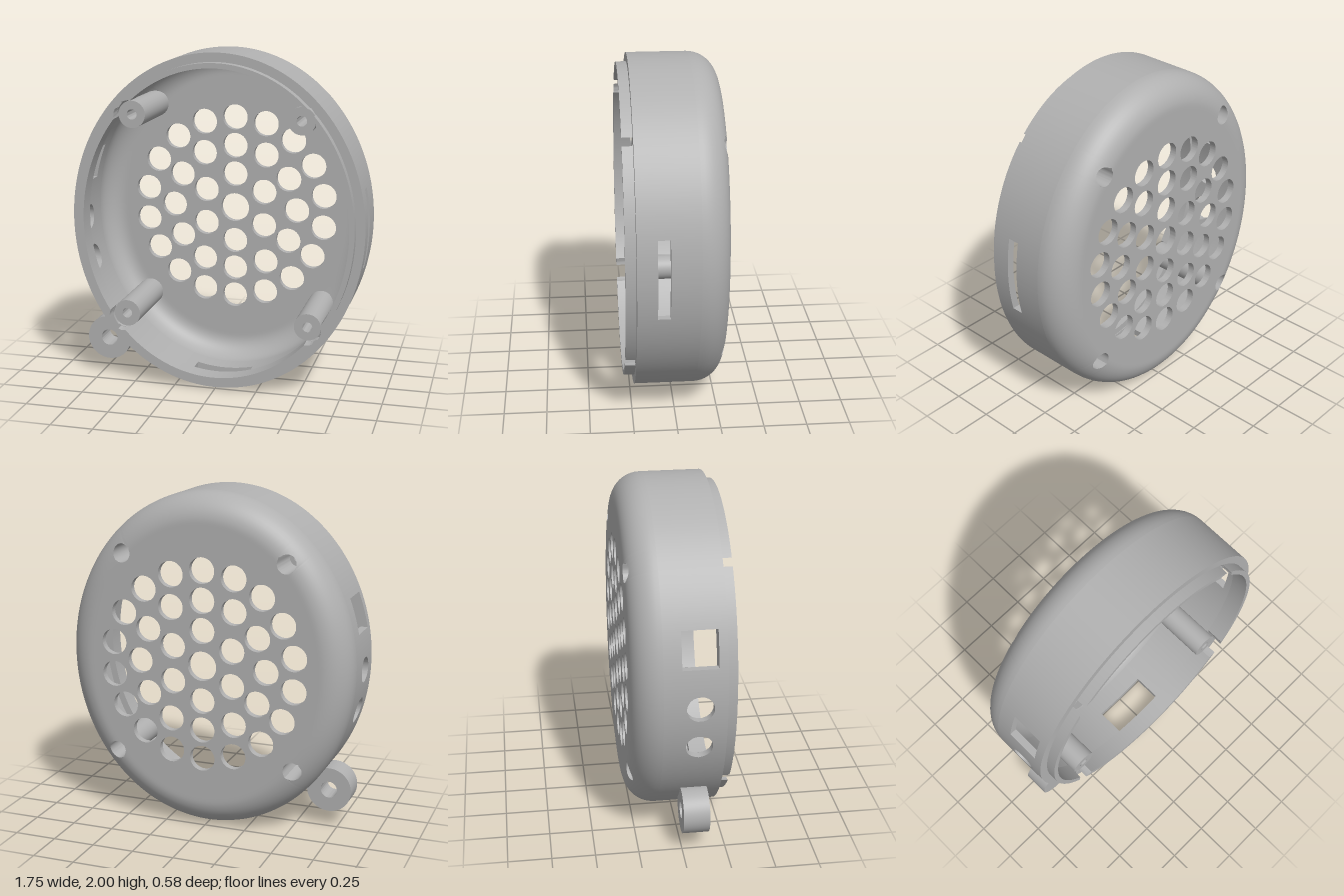
import * as THREE from 'three';
import { toCreasedNormals } from 'three/addons/utils/BufferGeometryUtils.js';

const RX = 0.873, RY = 1;                 // outer half-axes of the oval case
const WALL = 0.042, EDGE = 0.2;           // wall thickness, width of the rounded border
const RIM_Z = 0.23, LIP_Z = 0.29, BACK_Z = -0.29, FLOOR_Z = BACK_Z + WALL;
const R_OUT = 0.17, R_IN = R_OUT - WALL;  // outer and inner corner radii
const BEND_Z = BACK_Z + R_OUT;            // where the wall starts to curve in
const N = 720, STEP = (Math.PI * 2) / N;
const BORE = 0.055, BORE_Z = -0.05;       // screw recess at the back
const POSTS = [[0.5, 0.63], [-0.5, 0.63], [-0.55, -0.577], [0.55, -0.577]];

// Openings in the side wall: side test, measured axis, centre, half size, z range
const OPENINGS = [
  { on: (x) => x > 0, axis: 1, c: 0, h: 0.23, z: [0.047, 0.117] },
  { on: (x) => x < 0, axis: 1, c: 0.305, h: 0.105, z: [-0.02, 0.18] },
  { on: (x) => x < 0, axis: 1, c: -0.03, h: 0.076, z: [0.08, 0.08], round: true },
  { on: (x) => x < 0, axis: 1, c: -0.28, h: 0.076, z: [0.08, 0.08], round: true },
  { on: (x, y) => y < 0, axis: 0, c: 0, h: 0.175, z: [0, 0.175] },
];

const oval = (t, inset, z = 0) => [(RX - inset) * Math.cos(t), (RY - inset) * Math.sin(t), z];
const oval2 = (t, inset) => new THREE.Vector2(...oval(t, inset).slice(0, 2));

// Collects four-cornered faces into one geometry
function faceSet() {
  const pos = [];
  return {
    quad(a, b, c, d, flip = false) {
      if (flip) [b, d] = [d, b];
      pos.push(...a, ...b, ...c, ...a, ...c, ...d);
    },
    build() {
      const g = new THREE.BufferGeometry();
      g.setAttribute('position', new THREE.Float32BufferAttribute(pos, 3));
      return toCreasedNormals(g, 0.6);
    },
  };
}

// Straight side wall, built in narrow columns split around the openings
function sideWall() {
  const f = faceSet();
  const out = (t, z) => oval(t, 0, z);
  const inn = (t, z) => oval(t + 0.012 * Math.sin(4 * t), WALL, z);
  const span = (o, t) => {
    if (!o.round) return o.z;
    const u = out(t, 0)[o.axis] - o.c, s = Math.sqrt(Math.max(0, o.h * o.h - u * u));
    return [o.z[0] - s, o.z[0] + s];
  };
  const openAt = (t) => OPENINGS.find((o) => {
    const p = out(t, 0);
    return o.on(p[0], p[1]) && Math.abs(p[o.axis] - o.c) < o.h;
  });
  const band = (t0, t1, a0, a1, b0, b1) => {
    f.quad(out(t0, a0), out(t1, a1), out(t1, b1), out(t0, b0));
    f.quad(inn(t0, a0), inn(t1, a1), inn(t1, b1), inn(t0, b0), true);
  };
  for (let i = 0; i < N; i++) {
    const t0 = i * STEP, t1 = t0 + STEP, mid = t0 + STEP / 2;
    const ledge = (z0, z1, flip) => f.quad(out(t0, z0), out(t1, z1), inn(t1, z1), inn(t0, z0), flip);
    ledge(RIM_Z, RIM_Z, false);
    const o = openAt(mid);
    if (!o) { band(t0, t1, BEND_Z, BEND_Z, RIM_Z, RIM_Z); continue; }
    const [lo0, hi0] = span(o, t0), [lo1, hi1] = span(o, t1);
    band(t0, t1, BEND_Z, BEND_Z, lo0, lo1);
    band(t0, t1, hi0, hi1, RIM_Z, RIM_Z);
    ledge(lo0, lo1, false);
    ledge(hi0, hi1, true);
    const jamb = (t, lo, hi, flip) => f.quad(out(t, lo), inn(t, lo), inn(t, hi), out(t, hi), flip);
    if (openAt(mid - STEP) !== o) jamb(t0, lo0, hi0, false);
    if (openAt(mid + STEP) !== o) jamb(t1, lo1, hi1, true);
  }
  return f.build();
}

// Rounded border between wall and back plate, pierced by the screw recesses
function roundedBorder(start, radius, inside) {
  const f = faceSet();
  const at = (t, d) => {
    const k = Math.max(0, radius - (d - start));
    return oval(t, d, BEND_Z - Math.sqrt(Math.max(0, radius * radius - k * k)));
  };
  const hole = (t) => {
    const c = Math.cos(t), s = Math.sin(t);
    for (const [px, py] of POSTS) {
      const qx = RX * c - px, qy = RY * s - py, m = qx * c + qy * s;
      const disc = m * m - qx * qx - qy * qy + BORE * BORE;
      if (disc > -0.001 && m < 0.5) {
        const r = Math.sqrt(Math.max(0, disc));
        return [Math.max(start, m - r), Math.min(EDGE, m + r), disc > 0];
      }
    }
    return [0.137, 0.137, false];
  };
  const rows = ([lo, hi]) => {
    const a = [], b = [];
    for (let i = 0; i <= 10; i++) a.push(start + (lo - start) * (1 - Math.cos((i * Math.PI) / 20)));
    for (let i = 0; i <= 4; i++) b.push(hi + ((EDGE - hi) * i) / 4);
    return [a, b];
  };
  for (let i = 0; i < N; i++) {
    const t0 = i * STEP, t1 = t0 + STEP, h0 = hole(t0), h1 = hole(t1);
    const r0 = rows(h0), r1 = rows(h1);
    for (const k of [0, 1]) {
      for (let j = 0; j + 1 < r0[k].length; j++) {
        f.quad(at(t0, r0[k][j]), at(t0, r0[k][j + 1]), at(t1, r1[k][j + 1]), at(t1, r1[k][j]), inside);
      }
      // recess side faces
      if (!inside && (h0[2] || h1[2])) {
        f.quad(at(t0, h0[k]), at(t1, h1[k]), oval(t1, h1[k], BORE_Z), oval(t0, h0[k], BORE_Z), k === 0);
      }
    }
  }
  return f.build();
}

const extrude = (shape, depth, z) => {
  const g = new THREE.ExtrudeGeometry(shape, { depth, bevelEnabled: false, curveSegments: 40 });
  return toCreasedNormals(g.translate(0, 0, z), 0.6);
};
const circle = (x, y, r) => new THREE.Path().absarc(x, y, r, 0, Math.PI * 2, true);

// Back plate with rings of 1, 6, 12 and 18 round holes
function backPlate() {
  const pts = [];
  for (let i = 0; i < N; i++) pts.push(oval2(i * STEP, EDGE));
  const shape = new THREE.Shape(pts);
  shape.holes.push(circle(0, 0, 0.088));
  [[6, 0.21], [12, 0.387], [18, 0.562]].forEach(([n, r]) => {
    for (let i = 0; i < n; i++) {
      const a = Math.PI / 2 + (i * Math.PI * 2) / n;
      shape.holes.push(circle(r * Math.cos(a), r * Math.sin(a), 0.077));
    }
  });
  return extrude(shape, FLOOR_Z - BACK_Z, BACK_Z);
}

// One stretch of an inner ring, cut round the posts at both ends
function ringSection(i, outer, inner, z0, z1) {
  const angle = ([x, y]) => Math.atan2(y / RY, x / RX);
  const a = angle(POSTS[i]);
  let b = angle(POSTS[(i + 1) % 4]);
  if (b < a) b += Math.PI * 2;
  const arcs = [];
  for (let j = 0; j <= 6; j++) {
    const pts = [];
    for (let k = 0; k <= 300; k++) {
      const p = oval2(a + ((b - a) * k) / 300, outer + ((inner - outer) * j) / 6);
      if (POSTS.every(([px, py]) => Math.hypot(p.x - px, p.y - py) > 0.089)) pts.push(p);
    }
    arcs.push(pts);
  }
  const middle = arcs.slice(1, -1);
  return extrude(new THREE.Shape([
    ...arcs[0], ...middle.map((p) => p[p.length - 1]),
    ...arcs[6].reverse(), ...middle.map((p) => p[0]).reverse(),
  ]), z1 - z0, z0);
}

// Hollow screw post with a wide recess at its back end
function screwPost() {
  const profile = [[0.08, -0.245], [0.08, RIM_Z], [0.03, RIM_Z], [0.03, BORE_Z], [BORE, BORE_Z]];
  const g = new THREE.LatheGeometry(profile.map((p) => new THREE.Vector2(...p)), 48);
  return toCreasedNormals(g.rotateX(Math.PI / 2), 0.6);
}

export function createModel() {
  const grey = new THREE.MeshStandardMaterial({ color: 0xb0b0b0, side: THREE.DoubleSide });
  grey.name = 'grey plastic';
  const model = new THREE.Group();
  model.name = 'ovalCase';
  const add = (name, geometry, x = 0, y = 0) => {
    const mesh = new THREE.Mesh(geometry, grey);
    mesh.name = name;
    mesh.position.set(x, y + 1, 0);
    model.add(mesh);
  };

  add('sideWall', sideWall());
  add('outerRoundedBorder', roundedBorder(0, R_OUT, false));
  add('innerRoundedBorder', roundedBorder(WALL, R_IN, true));
  add('backPlate', backPlate());
  POSTS.forEach(([x, y], i) => {
    add('screwPost', screwPost(), x, y);
    add('lipSection', ringSection(i, 0.053, 0.083, RIM_Z, LIP_Z));
    add('lipBase', ringSection(i, WALL, 0.083, 0.18, RIM_Z));
  });

  // Hanging lug on the lower side
  const lug = new THREE.Shape().absarc(0, 0, 0.135, 0, Math.PI * 2);
  lug.holes.push(circle(0, 0, 0.05));
  add('hangingLug', extrude(lug, 0.15, 0), -0.695, -0.77);
  return model;
}
